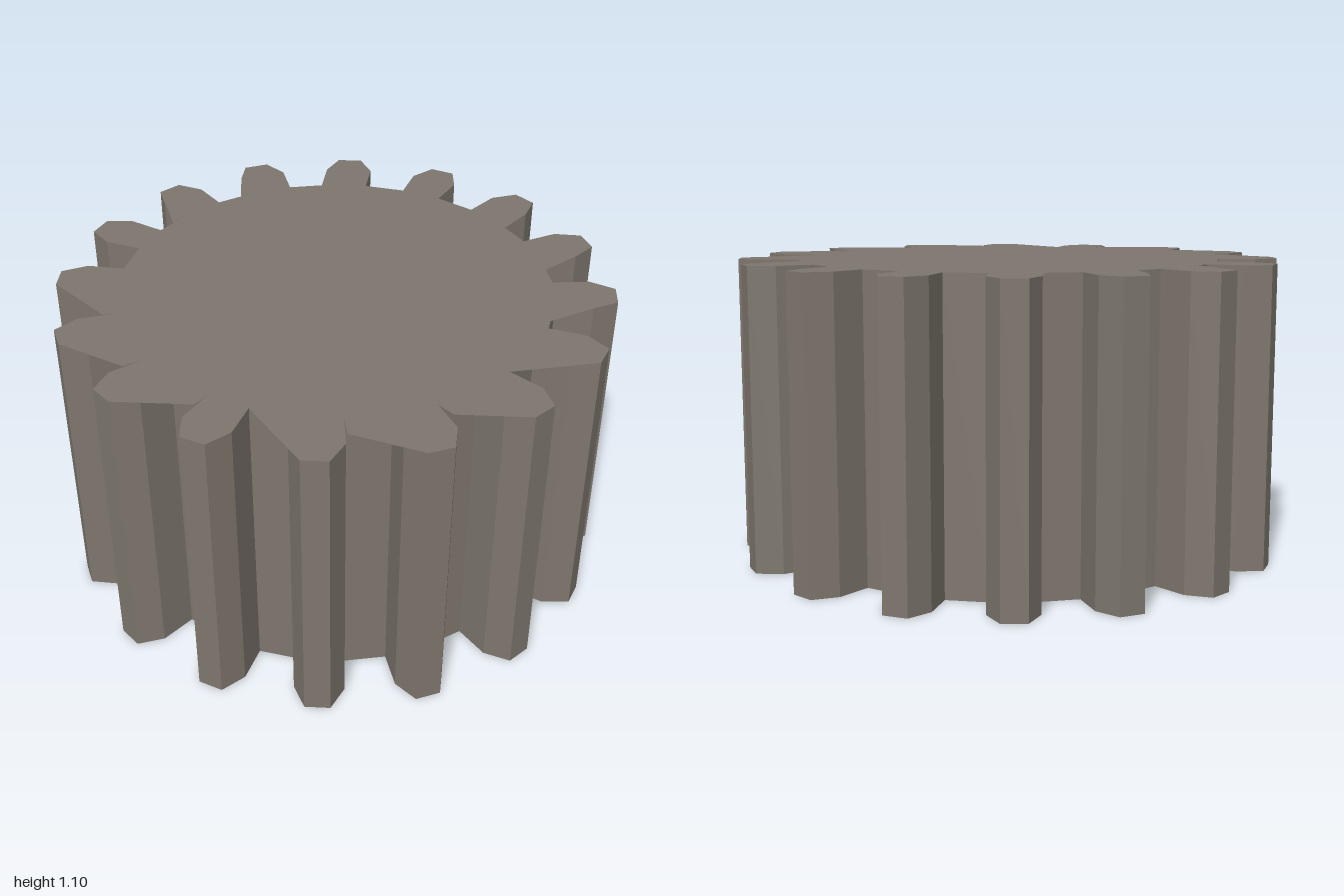
import * as THREE from 'three';
import { mergeGeometries } from 'three/addons/utils/BufferGeometryUtils.js';

const TEETH = 16, HEIGHT = 1.1, FIRST = 9.25;
// one tooth: [degrees from its centre line, radius] from root to root
const TOOTH = [[-5.6, 0.785], [-5.6, 0.92], [-2.6, 1.007], [2.6, 1.007], [5.6, 0.92], [5.6, 0.785]];

// plan point i of tooth k, as [x, z]
function p(k, i) {
  const [da, r] = TOOTH[i];
  const a = THREE.MathUtils.degToRad(FIRST + (k - 1) * 360 / TEETH + da);
  return [r * Math.cos(a), r * Math.sin(a)];
}

// plan outline [x, z] to a shape that lies flat after rotateX(-90 degrees)
const planShape = (pts) => new THREE.Shape(pts.map(([x, z]) => new THREE.Vector2(x, -z)));

export function createModel() {
  const group = new THREE.Group();
  const color = 0x7d766d;

  // straight-toothed gear body
  const outline = [];
  for (let k = 1; k <= TEETH; k++) TOOTH.forEach((_, i) => outline.push(p(k, i)));
  const body = new THREE.ExtrudeGeometry(planShape(outline), { depth: HEIGHT, bevelEnabled: false });
  body.rotateX(-Math.PI / 2);
  const gear = new THREE.Mesh(body, new THREE.MeshStandardMaterial({ color, flatShading: true }));
  gear.name = 'gearBody';
  group.add(gear);

  // thin webs of the top face that reach across some of the tooth gaps
  const webs = [
    [p(1, 4), [0.744, 0.233], p(1, 5)],
    [p(2, 4), [0.573, 0.522], p(2, 5)],
    [p(3, 4), [0.289, 0.72], p(3, 5)],
    [p(4, 3), p(5, 0), p(4, 5), p(4, 4)],
    [p(5, 3), [-0.358, 0.778], p(6, 0), p(5, 5), p(5, 4)],
    [p(6, 3), [-0.648, 0.58], p(7, 0), p(6, 5), p(6, 4)],
    [p(7, 3), p(8, 0), p(7, 5), p(7, 4)],
    [p(9, 2), [-0.84, 0.104], p(8, 5), p(9, 0), p(9, 1)],
    [p(10, 2), [-0.834, -0.227], p(9, 5), p(10, 0), p(10, 1)],
    [p(11, 2), [-0.658, -0.51], p(10, 5), p(11, 0), p(11, 1)],
    [p(13, 2), [-0.032, -0.783], p(13, 0), p(13, 1)],
    [p(14, 1), [0.294, -0.725], p(14, 0)],
    [p(15, 1), [0.572, -0.537], p(15, 0)],
    [p(16, 1), [0.743, -0.254], p(16, 0)],
  ];
  const web = mergeGeometries(webs.map((pts) => new THREE.ShapeGeometry(planShape(pts))));
  web.rotateX(-Math.PI / 2).translate(0, HEIGHT, 0);
  const top = new THREE.Mesh(web, new THREE.MeshStandardMaterial({ color, flatShading: true, side: THREE.DoubleSide }));
  top.name = 'topFaceWebs';
  group.add(top);

  return group;
}
